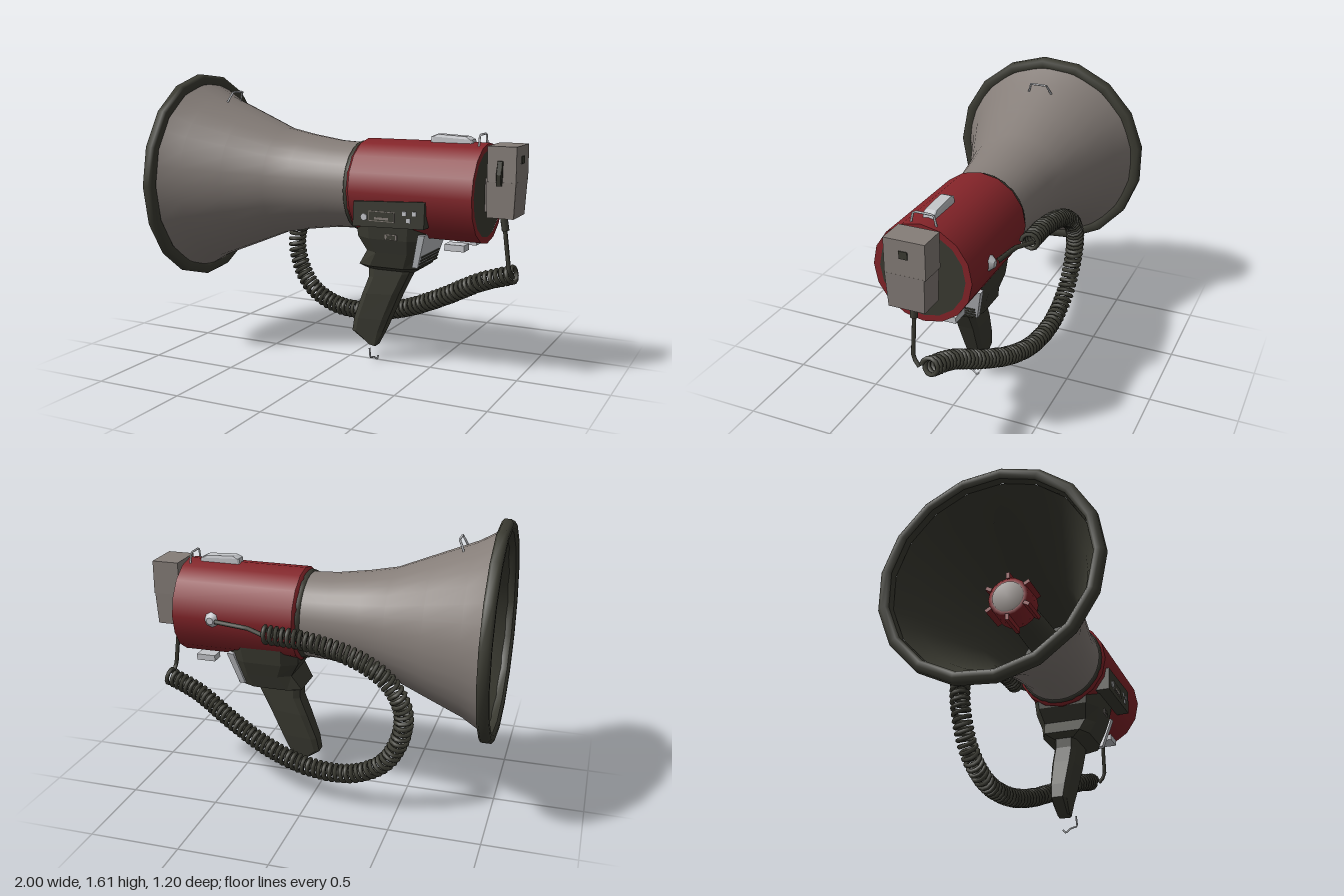
import * as THREE from 'three';

const AXIS = 1.012; // height of the horn axis
const V = (x, y, z) => new THREE.Vector3(x, y, z);

// Coiled cord: a helix wound around a smooth centre line
class Coil extends THREE.Curve {
  constructor(centre, turns, radius) {
    super();
    Object.assign(this, { centre, turns, radius });
  }
  getPoint(t) {
    const u = Math.min(Math.max(t, 0), 1);
    const dir = this.centre.getTangentAt(u);
    const n = V(0, 0, 1).addScaledVector(dir, -dir.z).normalize();
    const b = dir.clone().cross(n);
    const a = u * this.turns * Math.PI * 2;
    return this.centre.getPointAt(u)
      .addScaledVector(n, Math.cos(a) * this.radius)
      .addScaledVector(b, Math.sin(a) * this.radius);
  }
  getPointAt(t) { return this.getPoint(t); }
  getTangentAt(t) { return this.getTangent(t); }
}

// Revolve [x, radius] pairs around the horn axis
function revolve(pairs, sides) {
  const g = new THREE.LatheGeometry(pairs.map(([x, r]) => new THREE.Vector2(r, x)), sides);
  return g.rotateZ(-Math.PI / 2).translate(0, AXIS, 0);
}

// Loft chamfered sections, bottom to top: [frontX, frontY, backX, backY, halfWidth]
function loft(sections, c = 0.15, k = 0.3) {
  const ring = [[c, 1], [1 - c, 1], [1, 1 - k], [1, k - 1], [1 - c, -1], [c, -1], [0, k - 1], [0, 1 - k]];
  const pos = [], idx = [], n = ring.length;
  for (const [xa, ya, xb, yb, w] of sections)
    for (const [t, z] of ring) pos.push(xa + (xb - xa) * t, ya + (yb - ya) * t, z * w);
  const top = (sections.length - 1) * n;
  for (let i = 0; i < top; i += n)
    for (let j = 0; j < n; j++) {
      const p = i + j, q = i + (j + 1) % n;
      idx.push(p, q, q + n, p, q + n, p + n);
    }
  for (let j = 1; j < n - 1; j++) idx.push(0, j + 1, j, top, top + j, top + j + 1);
  const g = new THREE.BufferGeometry();
  g.setAttribute('position', new THREE.Float32BufferAttribute(pos, 3));
  g.setIndex(idx);
  const flat = g.toNonIndexed();
  flat.computeVertexNormals();
  return flat;
}

export function createModel() {
  const model = new THREE.Group();
  model.name = 'megaphone';
  const paint = (name, color) => {
    const m = new THREE.MeshStandardMaterial({ color });
    m.name = name;
    return m;
  };
  const grey = paint('warm grey', 0x857d78);
  const dark = paint('dark rubber', 0x3b3b32);
  const red = paint('red', 0x842429);
  const light = paint('light metal', 0xc4c6ca);

  const add = (name, geometry, material) => {
    const mesh = new THREE.Mesh(geometry, material);
    mesh.name = name;
    model.add(mesh);
    return mesh;
  };
  const box = (name, mat, w, h, d, x, y, z) =>
    add(name, new THREE.BoxGeometry(w, h, d).translate(x, y, z), mat);
  const wire = (name, mat, pts, r, sides = 6) => {
    const path = new THREE.CurvePath();
    for (let i = 1; i < pts.length; i++) path.add(new THREE.LineCurve3(V(...pts[i - 1]), V(...pts[i])));
    return add(name, new THREE.TubeGeometry(path, (pts.length - 1) * 4, r, sides), mat);
  };

  // Horn bell, its dark lining and the rubber rim
  const bell = [[-0.95, 0.55], [-0.83, 0.48], [-0.62, 0.395], [-0.4, 0.305], [-0.25, 0.275], [-0.06, 0.247], [0.1, 0.24]];
  add('hornBell', revolve(bell, 32), grey);
  add('hornLining', revolve(bell.map(([x, r]) => [x, r - 0.012]).reverse(), 32), dark);
  add('hornRim', revolve([[-0.985, 0.545], [-1, 0.56], [-1, 0.585], [-0.985, 0.606], [-0.95, 0.606],
    [-0.937, 0.59], [-0.935, 0.555], [-0.95, 0.538], [-0.985, 0.545]], 17), dark);

  // Inner reflector with ribs in the horn mouth
  add('reflectorTube', revolve([[-0.72, 0.085], [-0.72, 0.11], [-0.58, 0.115], [-0.58, 0]], 16), red);
  add('reflectorCap', revolve([[-0.73, 0], [-0.73, 0.085], [-0.71, 0.09]], 16), grey);
  add('throat', revolve([[-0.58, 0.08], [0.09, 0.1]], 16), dark);
  add('throatPlate', revolve([[0.07, 0], [0.07, 0.23]], 16), dark);
  for (let i = 0; i < 6; i++) {
    const g = new THREE.BoxGeometry(0.16, 0.035, 0.02).translate(-0.65, 0.122, 0);
    add('reflectorRib', g.rotateX(i * Math.PI / 3).translate(0, AXIS, 0), red);
  }

  // Red amplifier body
  add('bodyCollar', revolve([[0.075, 0.235], [0.078, 0.25], [0.1, 0.252]], 24), dark);
  add('bodyFront', revolve([[0.095, 0.235], [0.095, 0.25], [0.115, 0.267]], 16), red);
  add('bodyShell', revolve([[0.115, 0.267], [0.815, 0.27]], 16), red);
  add('bodyBackRing', revolve([[0.815, 0.27], [0.815, 0.235]], 16), red);
  add('bodyBackPlate', revolve([[0.813, 0.238], [0.813, 0]], 16), dark);

  // Control panel
  const panel = new THREE.Shape([[0.15, 0.83], [0.56, 0.84], [0.565, 0.985], [0.155, 0.965]]
    .map(p => new THREE.Vector2(...p)));
  add('controlPanel', new THREE.ExtrudeGeometry(panel, { depth: 0.13, bevelEnabled: false }).translate(0, 0, 0.145), dark);
  add('volumeKnob', new THREE.CylinderGeometry(0.019, 0.019, 0.008, 12).rotateX(Math.PI / 2).translate(0.218, 0.884, 0.278), light);
  for (const [x, y] of [[0.452, 0.918], [0.508, 0.92], [0.475, 0.882]])
    box('panelButton', light, 0.022, 0.022, 0.008, x, y, 0.277);
  box('panelSlotFrame', grey, 0.15, 0.055, 0.004, 0.32, 0.893, 0.276);
  box('panelSlot', dark, 0.142, 0.047, 0.006, 0.32, 0.893, 0.276);
  box('panelSlotMark', grey, 0.08, 0.012, 0.008, 0.32, 0.882, 0.276);

  // Bracket and pistol grip
  add('gripBracket', loft([
    [0.14, 0.555, 0.42, 0.555, 0.075], [0.11, 0.585, 0.465, 0.585, 0.14],
    [0.165, 0.67, 0.49, 0.67, 0.165], [0.12, 0.75, 0.515, 0.75, 0.19], [0.11, 0.86, 0.535, 0.86, 0.205],
  ], 0.22, 0.25), dark);
  add('grip', loft([
    [0.13, 0.1, 0.175, 0.092, 0.035], [0.03, 0.17, 0.22, 0.18, 0.045], [0.045, 0.25, 0.255, 0.26, 0.055],
    [0.1, 0.4, 0.325, 0.42, 0.065], [0.14, 0.5, 0.385, 0.54, 0.065], [0.14, 0.6, 0.4, 0.6, 0.065],
  ]), dark);
  box('triggerSwitch', grey, 0.07, 0.03, 0.008, 0.34, 0.768, 0.194);
  box('triggerSwitchSlot', dark, 0.05, 0.022, 0.01, 0.34, 0.768, 0.195);

  // Light plate behind the bracket, with slats
  add('bracketBackPlate', loft([[0.44, 0.6, 0.474, 0.6, 0.14], [0.49, 0.79, 0.53, 0.79, 0.185]], 0.02, 0.02), light);
  for (let i = 0; i < 4; i++)
    box('bracketSlat', dark, 0.02, 0.009, 0.27, 0.471 + i * 0.005, 0.606 + i * 0.018, 0);

  // Clips on top of and under the body
  add('topClip', loft([[0.495, 1.27, 0.735, 1.27, 0.035], [0.5, 1.305, 0.73, 1.295, 0.034], [0.53, 1.318, 0.7, 1.31, 0.03]], 0.05, 0.2), light);
  for (const s of [-1, 1]) box('bottomClip', light, 0.11, 0.035, 0.08, 0.68, 0.73, s * 0.1);
  wire('rearStrapLoop', light, [[0.78, 1.26, -0.07], [0.78, 1.325, -0.055], [0.78, 1.325, 0.055], [0.78, 1.26, 0.07]], 0.006);
  wire('hornStrapLoop', light, [[-0.77, 1.45, 0.075], [-0.755, 1.485, 0.06], [-0.74, 1.515, 0.05],
    [-0.74, 1.515, -0.05], [-0.755, 1.485, -0.06], [-0.77, 1.45, -0.075]], 0.006);
  wire('gripStrapLoop', light, [[0.155, 0.09, 0.066], [0.162, 0.035, 0.07], [0.168, 0.028, 0.03],
    [0.175, 0.006, 0], [0.172, 0.025, -0.015]], 0.005);

  // Hand microphone on the rear
  box('microphoneUpper', grey, 0.155, 0.19, 0.22, 0.917, 1.18, -0.004);
  add('microphoneLower', loft([[0.84, 0.9, 0.985, 0.9, 0.1], [0.838, 1.09, 0.995, 1.09, 0.108]], 0.02, 0.02), grey);
  box('microphoneMount', grey, 0.04, 0.18, 0.1, 0.825, 1.01, 0);
  box('microphoneButton', dark, 0.05, 0.05, 0.008, 0.995, 1.2, 0).rotation.set(0, 0, 0);
  box('microphoneBackPort', dark, 0.008, 0.04, 0.045, 0.996, 1.2, 0);
  add('talkSwitch', loft([[0.893, 1.07, 0.922, 1.07, 0.008], [0.893, 1.13, 0.925, 1.13, 0.02], [0.897, 1.2, 0.925, 1.2, 0.008]]).translate(0, 0, 0.11), dark);
  model.remove(model.getObjectByName('microphoneButton'));

  // Cord: straight lead, coil, plug
  wire('leadSleeve', dark, [[0.9, 0.91, 0], [0.915, 0.82, 0]], 0.021, 8);
  wire('microphoneLead', dark, [[0.91, 0.84, 0], [0.94, 0.6, 0], [0.95, 0.56, -0.04]], 0.012);
  const centre = new THREE.CatmullRomCurve3([
    V(0.95, 0.57, -0.09), V(0.75, 0.5, -0.12), V(0.5, 0.37, -0.19), V(0.25, 0.26, -0.25), V(0, 0.2, -0.29),
    V(-0.25, 0.21, -0.31), V(-0.43, 0.31, -0.32), V(-0.52, 0.48, -0.33), V(-0.53, 0.64, -0.34),
    V(-0.45, 0.79, -0.345), V(-0.28, 0.9, -0.34), V(0, 0.97, -0.335), V(0.25, 0.99, -0.34),
  ]);
  const turns = 84;
  add('coiledCord', new THREE.TubeGeometry(new Coil(centre, turns, 0.044), turns * 11, 0.0125, 6), dark);
  wire('plugLead', dark, [[0.24, 0.99, -0.36], [0.35, 1, -0.305], [0.55, 1.01, -0.285]], 0.014);
  add('plugSocket', new THREE.CylinderGeometry(0.02, 0.045, 0.03, 8).rotateX(-Math.PI / 2).translate(0.58, 1.012, -0.275), light);
  return model;
}
